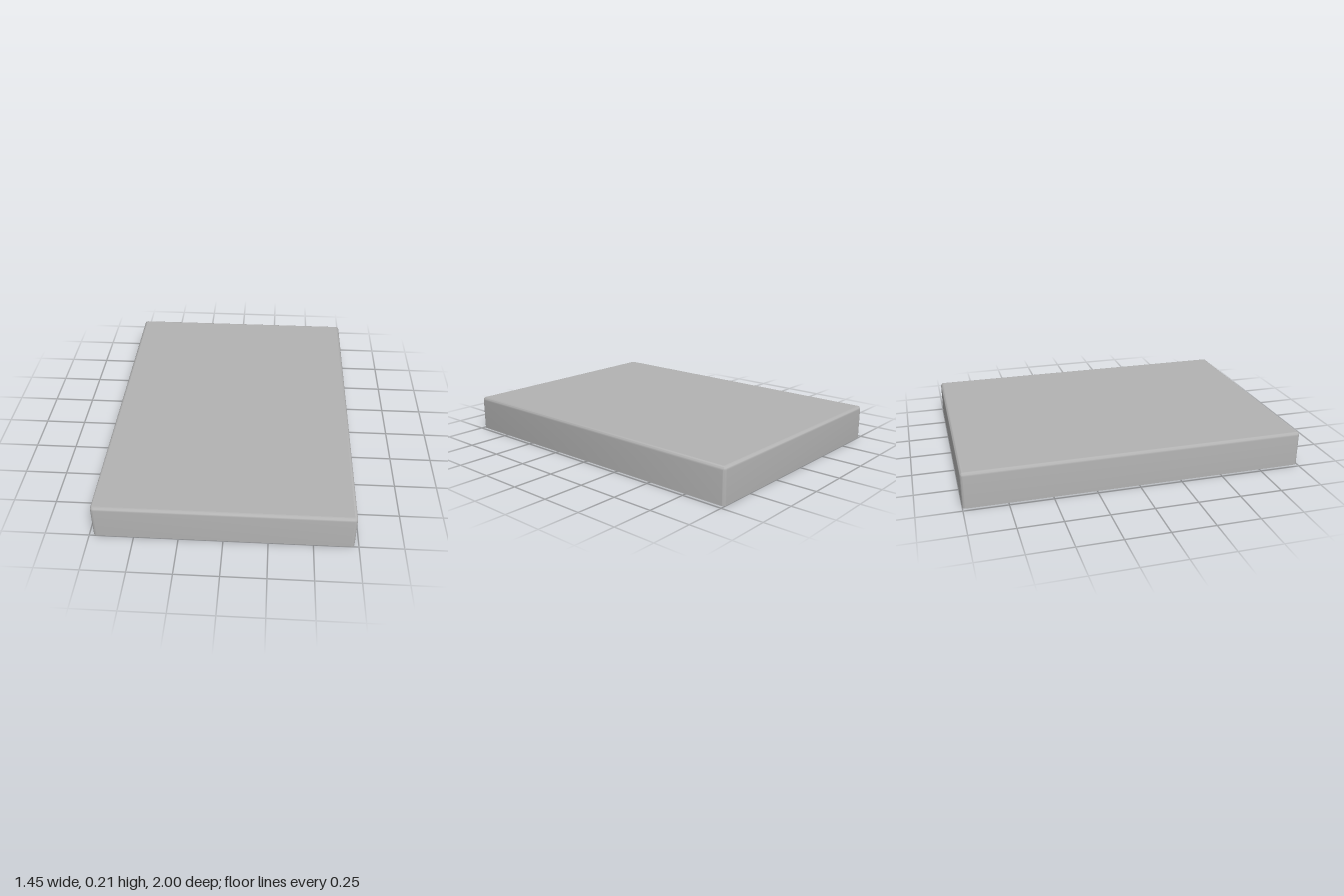
import * as THREE from 'three';
import { mergeVertices, toCreasedNormals } from 'three/addons/utils/BufferGeometryUtils.js';

const W = 0.727, L = 1, H = 0.21;       // half width, half length, height
const R = 0.02, WALL = 0.025;           // edge radius, wall thickness
const FLOOR = 0.14, CEILING = 0.19;     // underside level, pocket depth level
const PITCH = 0.178, HEX = 0.083;       // honeycomb spacing, cell radius
const FIELD_X = 0.56, FIELD_Z = 0.8;    // honeycomb half extents

// Rounded rectangle outline, counter-clockwise in x and z
function outline(inset, steps = 6) {
  const pts = [], r = Math.max(R - inset, 0.003);
  const cx = W - inset - r, cz = L - inset - r;
  [[1, 1], [-1, 1], [-1, -1], [1, -1]].forEach(([sx, sz], q) => {
    for (let i = 0; i <= steps; i++) {
      const a = (q + i / steps) * Math.PI / 2;
      pts.push(new THREE.Vector2(sx * cx + r * Math.cos(a), sz * cz + r * Math.sin(a)));
    }
  });
  return pts;
}

// Skin lofted through [inset, y] rings
function loft(profile) {
  const pos = [], idx = [], n = outline(0).length;
  for (const [inset, y] of profile) for (const p of outline(inset)) pos.push(p.x, y, p.y);
  for (let k = 0; k < profile.length - 1; k++) {
    for (let i = 0; i < n; i++) {
      const j = (i + 1) % n, a = k * n + i, b = k * n + j;
      idx.push(a, a + n, b, b, a + n, b + n);
    }
  }
  const g = new THREE.BufferGeometry();
  g.setAttribute('position', new THREE.Float32BufferAttribute(pos, 3));
  g.setIndex(idx);
  return toCreasedNormals(mergeVertices(g), 0.6);
}

// Cut a convex polygon along one axis at +limit or -limit
function clip(pts, axis, sign, limit) {
  const out = [], d = p => limit - sign * p[axis];
  pts.forEach((p, i) => {
    const q = pts[(i + 1) % pts.length], dp = d(p), dq = d(q);
    if (dp >= 0) out.push(p);
    if (dp * dq < 0) out.push(p.clone().lerp(q, dp / (dp - dq)));
  });
  return out;
}

// Hexagonal cell trimmed to the honeycomb field
function cell(x, z) {
  let pts = [];
  for (let i = 0; i < 6; i++) {
    const a = Math.PI / 6 + i * Math.PI / 3;
    pts.push(new THREE.Vector2(x + HEX * Math.cos(a), z + HEX * Math.sin(a)));
  }
  for (const s of [1, -1]) {
    pts = clip(pts, 'x', s, FIELD_X);
    pts = clip(pts, 'y', s, FIELD_Z);
  }
  return pts;
}

export function createModel() {
  const group = new THREE.Group();
  const grey = new THREE.MeshStandardMaterial({ color: 0xb3b3b3 });
  grey.name = 'grey';
  const add = (name, geometry) => {
    const mesh = new THREE.Mesh(geometry, grey);
    mesh.name = name;
    group.add(mesh);
    return mesh;
  };

  // Walls: inner face, rim, outer face and filleted top edge
  const profile = [[WALL, FLOOR], [WALL, 0], [0, 0], [0, H - R]];
  for (let i = 1; i <= 6; i++) {
    const a = i / 6 * Math.PI / 2;
    profile.push([R * 0.85 * (1 - Math.cos(a)), H - R + R * Math.sin(a)]);
  }
  add('walls', loft(profile));

  // Flat top
  const top = new THREE.ShapeGeometry(new THREE.Shape(outline(R * 0.85)));
  add('topPanel', top.rotateX(-Math.PI / 2).translate(0, H, 0));

  // Underside plate pierced by the honeycomb
  const plate = new THREE.Shape(outline(WALL));
  for (let j = -5; j <= 5; j++) {
    const shift = j % 2 ? 0 : 0.5;
    for (let i = -4; i <= 3; i++) {
      const x = (i + shift) * PITCH;
      if (Math.abs(x) > FIELD_X) continue;
      plate.holes.push(new THREE.Path(cell(x, j * PITCH * Math.sqrt(3) / 2)));
    }
  }
  const plateGeo = new THREE.ExtrudeGeometry(plate, { depth: CEILING + 0.004 - FLOOR, bevelEnabled: false });
  add('honeycombPlate', plateGeo.rotateX(Math.PI / 2).translate(0, CEILING + 0.004, 0));

  // Bottoms of the honeycomb pockets
  const ceiling = new THREE.PlaneGeometry(2 * FIELD_X + 0.02, 2 * FIELD_Z + 0.02);
  add('pocketCeiling', ceiling.rotateX(Math.PI / 2).translate(0, CEILING, 0));

  // Snap bumps on the inside of the long walls
  for (const sx of [1, -1]) {
    for (const sz of [1, -1]) {
      add('snapBump', new THREE.SphereGeometry(0.02, 20, 14))
        .position.set(sx * (W - WALL), 0.065, sz * 0.585);
    }
  }
  return group;
}
